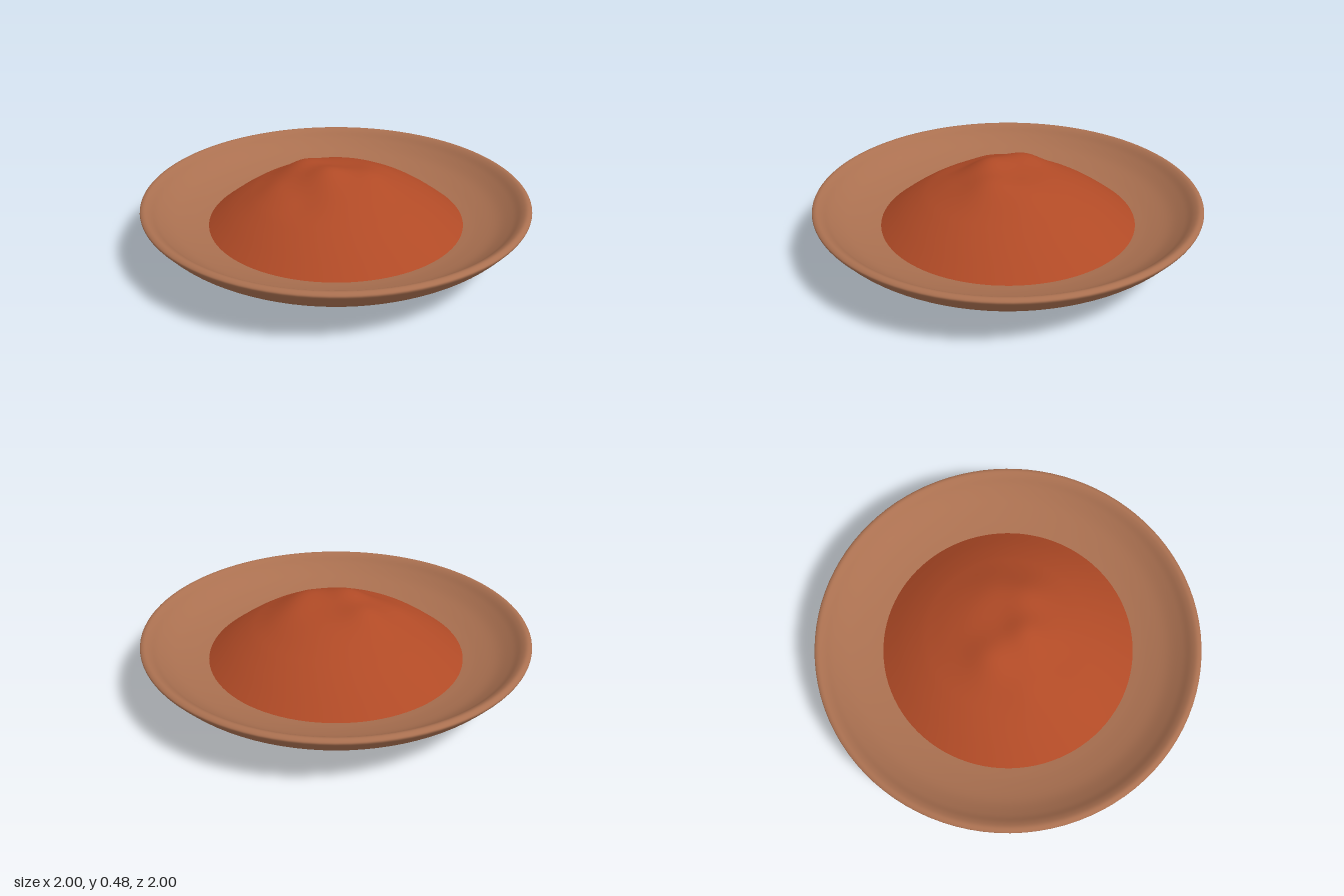
import * as THREE from 'three';
import { mergeVertices } from 'three/addons/utils/BufferGeometryUtils.js';

const clay = new THREE.MeshStandardMaterial({ color: 0xaa7050 });
clay.name = 'clay';
const powder = new THREE.MeshStandardMaterial({ color: 0xb04a26 });
powder.name = 'red powder';

// Smooth curve through a few [radius, height] pairs
const profile = (pairs, steps) =>
  new THREE.SplineCurve(pairs.map(([r, y]) => new THREE.Vector2(r, y)))
    .getPoints(steps)
    .map((p) => new THREE.Vector2(Math.max(p.x, 0), Math.max(p.y, 0)));

// Soft lumps on the heap: x, z, height, spread
const lumps = [
  [0.02, 0.1, 0.045, 0.08],
  [-0.19, 0.03, 0.035, 0.08],
  [0.2, -0.03, 0.03, 0.085],
  [0.14, -0.2, 0.012, 0.08],
  [-0.2, 0.27, 0.012, 0.07],
  [0.03, 0.3, -0.012, 0.07],
];

// Shallow dish: underside, rounded lip, then the inner slope
function makeDish() {
  const points = profile([
    [0, 0], [0.25, 0.002], [0.45, 0.012], [0.58, 0.035], [0.7, 0.08], [0.82, 0.137],
    [0.92, 0.205], [0.98, 0.268], [1, 0.295], [0.994, 0.308], [0.975, 0.312],
    [0.95, 0.298], [0.91, 0.262], [0.84, 0.217], [0.75, 0.185], [0.665, 0.165],
    [0.5, 0.135], [0.25, 0.115], [0, 0.11],
  ], 90);
  const dish = new THREE.Mesh(new THREE.LatheGeometry(points, 96), clay);
  dish.name = 'dish';
  return dish;
}

// Heap of powder: a turned mound with the lumps added
function makeHeap() {
  const points = profile([
    [0.7, 0.135], [0.665, 0.166], [0.56, 0.245], [0.47, 0.303], [0.4, 0.34],
    [0.3, 0.385], [0.2, 0.418], [0.1, 0.433], [0, 0.435],
  ], 48);
  const turned = new THREE.LatheGeometry(points, 96);
  turned.deleteAttribute('uv');
  turned.deleteAttribute('normal');
  const geometry = mergeVertices(turned, 1e-5);
  const pos = geometry.attributes.position;
  for (let i = 0; i < pos.count; i++) {
    const x = pos.getX(i), z = pos.getZ(i);
    let y = pos.getY(i);
    for (const [lx, lz, height, spread] of lumps) {
      y += height * Math.exp(-((x - lx) ** 2 + (z - lz) ** 2) / (2 * spread ** 2));
    }
    pos.setY(i, y);
  }
  geometry.computeVertexNormals();
  const heap = new THREE.Mesh(geometry, powder);
  heap.name = 'powderHeap';
  return heap;
}

export function createModel() {
  const model = new THREE.Group();
  model.name = 'dishOfPowder';
  model.add(makeDish(), makeHeap());
  return model;
}
